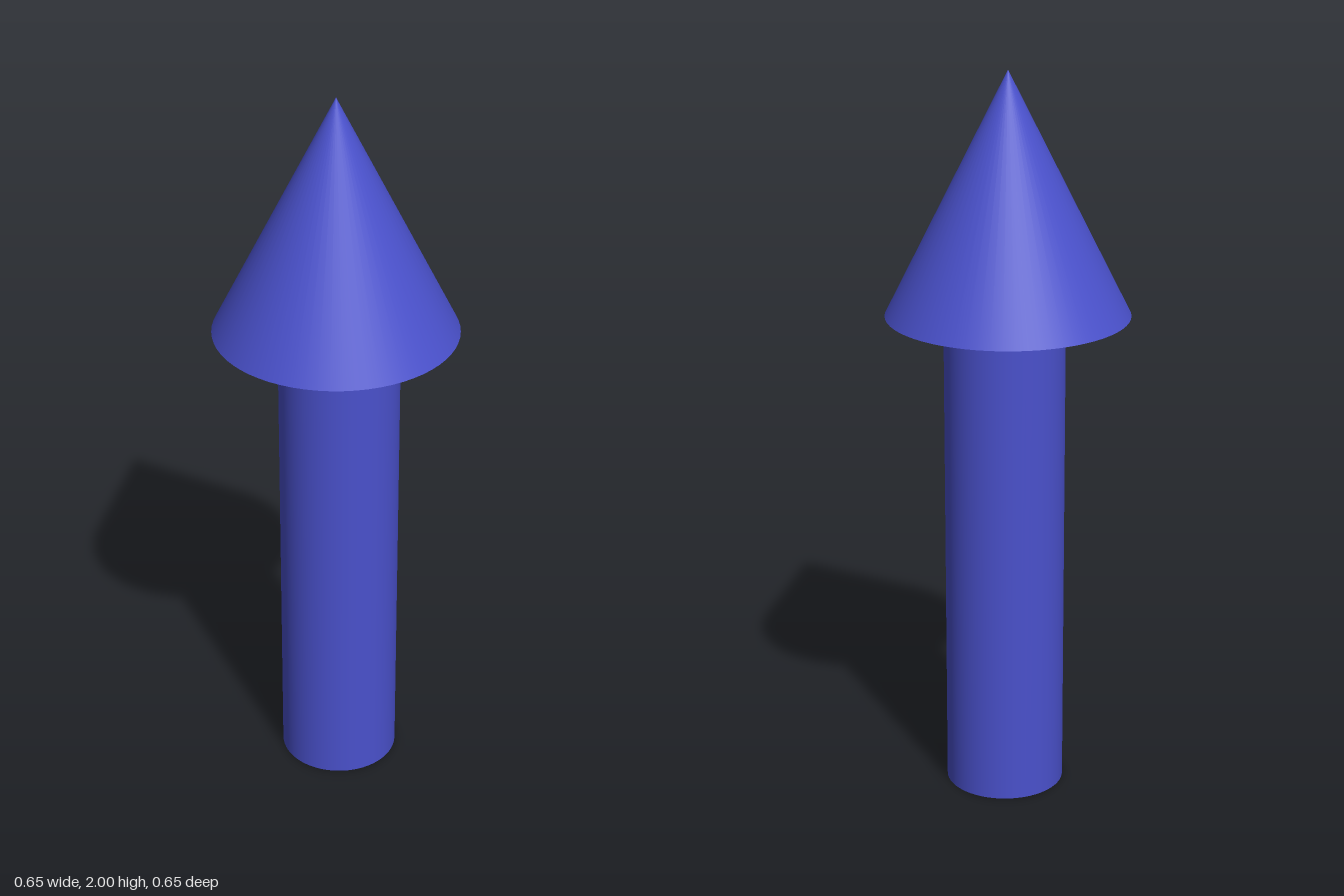
import * as THREE from 'three';

export function createModel() {
  const model = new THREE.Group();
  const blue = new THREE.MeshStandardMaterial({ color: 0x4a51cc });
  const headBase = 1.35;
  const top = 2;

  const add = (name, geometry, x, y, z) => {
    const mesh = new THREE.Mesh(geometry, blue);
    mesh.name = name;
    mesh.position.set(x, y, z);
    model.add(mesh);
  };

  // Round shaft, very slightly off the axis of the head
  add('shaft', new THREE.CylinderGeometry(0.162, 0.162, headBase, 64), 0.008, headBase / 2, 0.004);

  // Pointed cone head with a flat underside
  const headHeight = top - headBase;
  add('arrowHead', new THREE.ConeGeometry(0.326, headHeight, 64), 0, headBase + headHeight / 2, 0);

  return model;
}
